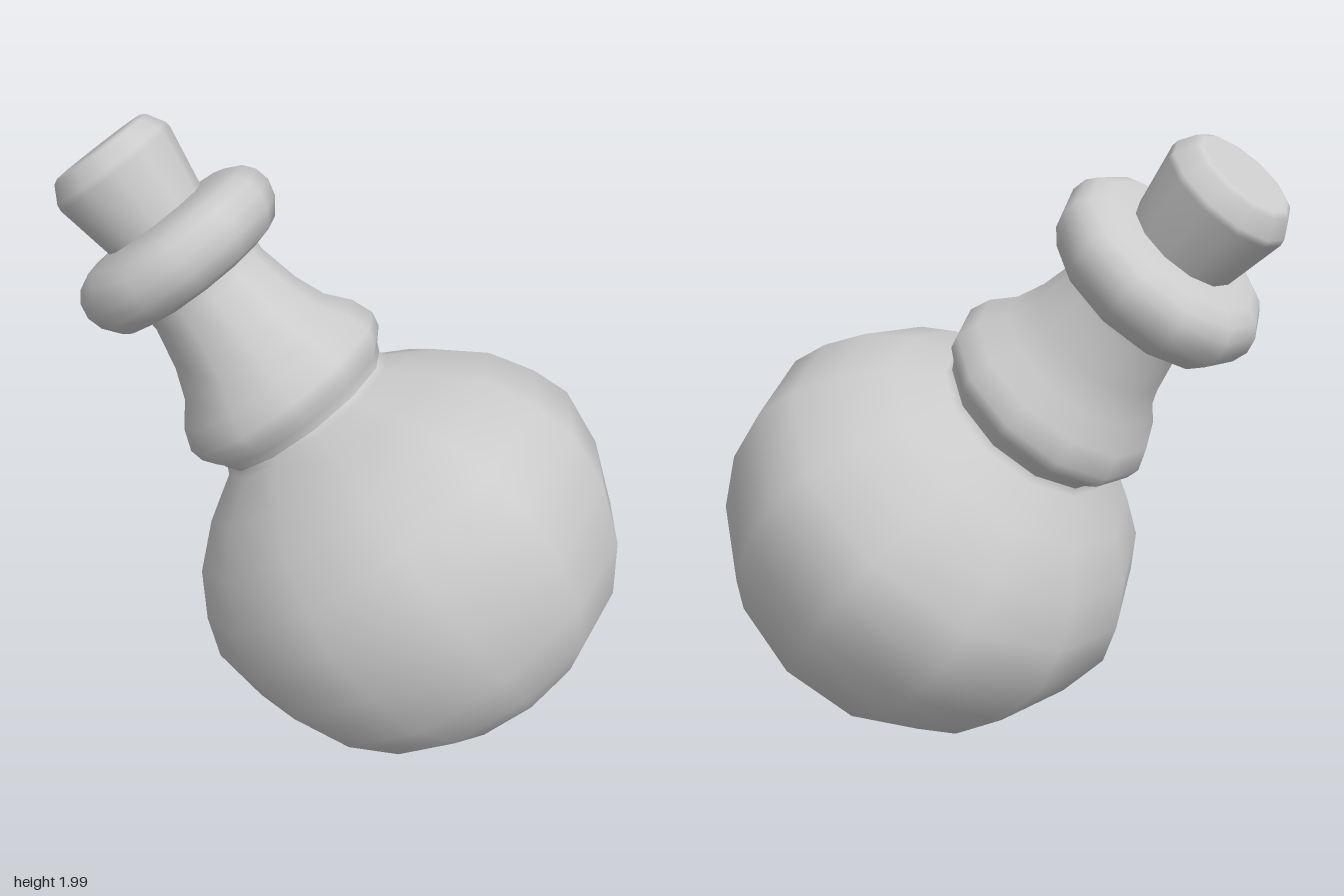
import * as THREE from 'three';

const SIDES = 12;
const material = new THREE.MeshStandardMaterial({ color: 0xcccccc });

// Turned part from [radius, height] pairs, listed bottom to top
function turned(name, profile) {
  const points = profile.map(([r, h]) => new THREE.Vector2(r, h));
  const mesh = new THREE.Mesh(new THREE.LatheGeometry(points, SIDES), material);
  mesh.name = name;
  return mesh;
}

export function createModel() {
  const flask = new THREE.Group();
  flask.name = 'flask';

  // Round body with a small flattened base
  flask.add(turned('body', [
    [0, -0.247], [0.12, -0.246], [0.215, -0.222], [0.337, -0.162], [0.487, -0.063],
    [0.6, 0.083], [0.678, 0.282], [0.697, 0.475], [0.652, 0.6], [0.57, 0.735],
    [0.445, 0.847], [0.31, 0.93], [0.298, 0.952],
  ]));

  // Flared neck with a rolled foot
  flask.add(turned('neck', [
    [0.298, 0.952], [0.312, 0.982], [0.346, 1.02], [0.355, 1.065], [0.328, 1.135],
    [0.27, 1.205], [0.232, 1.3], [0.203, 1.43], [0.205, 1.47],
  ]));

  // Rounded lip
  flask.add(turned('lip', [
    [0.19, 1.462], [0.22, 1.464], [0.293, 1.484], [0.332, 1.535], [0.345, 1.585],
    [0.335, 1.632], [0.308, 1.666], [0.26, 1.69], [0.16, 1.698], [0, 1.698],
  ]));

  // Tapered cork with a bevelled top
  flask.add(turned('cork', [
    [0.17, 1.68], [0.206, 1.885], [0.203, 1.905], [0.172, 1.957], [0.155, 1.966],
    [0.14, 1.967], [0, 1.967],
  ]));

  // Lean the flask towards its right
  flask.rotation.z = THREE.MathUtils.degToRad(38.3);
  flask.position.set(0.455, 0.36, 0);

  const model = new THREE.Group();
  model.name = 'tiltedFlask';
  model.add(flask);
  return model;
}
